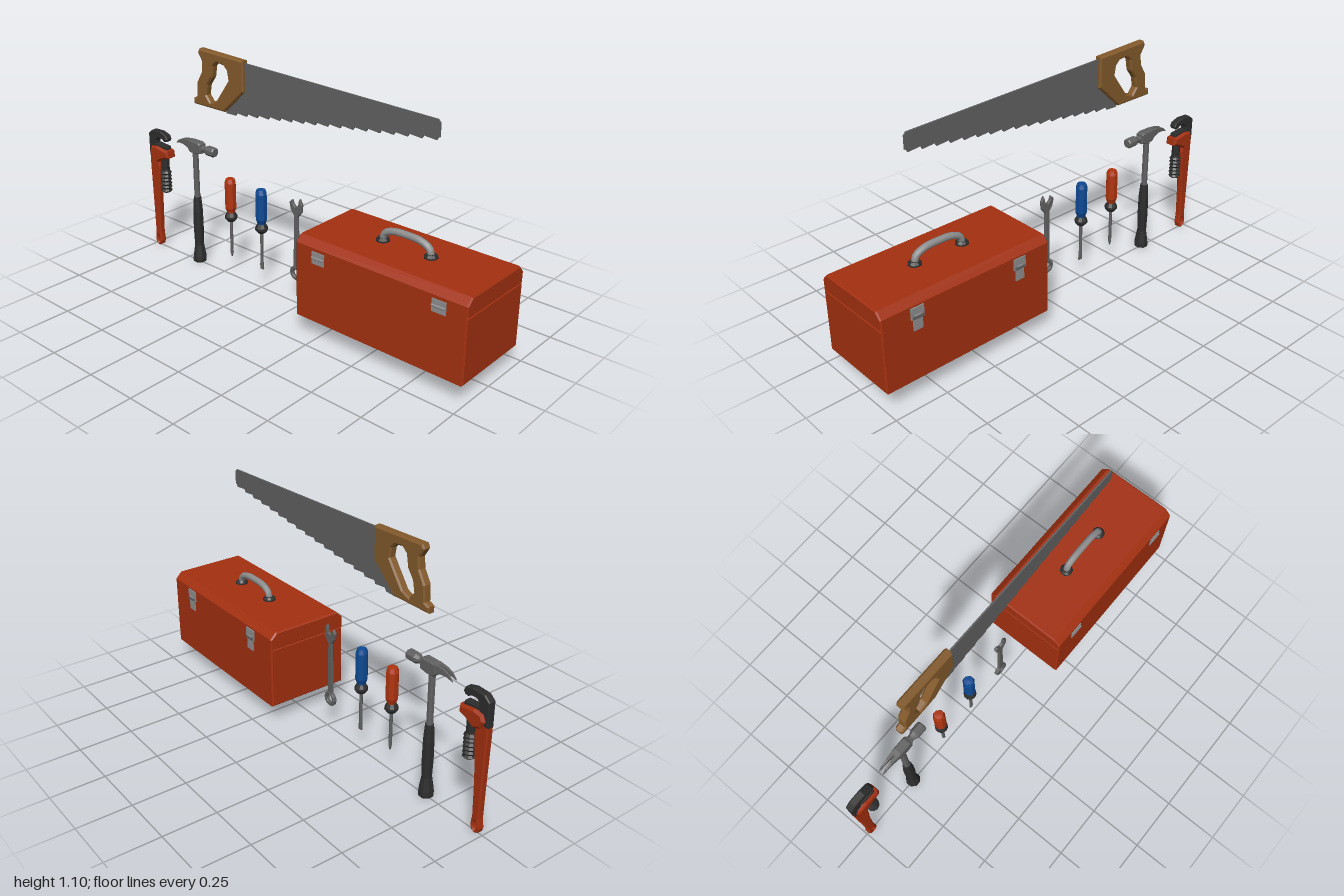
import * as THREE from 'three';

const mat = (name, color) => Object.assign(new THREE.MeshStandardMaterial({ color }), { name });
const M = {
  red: mat('red paint', 0xa33010),
  gripRed: mat('red plastic', 0xb0350f),
  blue: mat('blue plastic', 0x0e4a94),
  wood: mat('wood', 0x835a2b),
  steel: mat('steel', 0x616161),
  chrome: mat('chrome', 0x8e8e8e),
  dark: mat('dark rubber', 0x2d2d2d),
};

function part(parent, name, geo, material, x = 0, y = 0, z = 0) {
  const mesh = new THREE.Mesh(geo, material);
  mesh.name = name;
  mesh.position.set(x, y, z);
  parent.add(mesh);
  return mesh;
}

function group(parent, name, z = 0) {
  const g = new THREE.Group();
  g.name = name;
  g.position.z = z;
  parent.add(g);
  return g;
}

const vecs = pts => pts.map(([a, b]) => new THREE.Vector2(a, b));
const ring = (a, y, ra, ry = ra, n = 12) => Array.from({ length: n }, (_, i) => {
  const t = i / n * Math.PI * 2;
  return [a + ra * Math.cos(t), y + ry * Math.sin(t)];
});

// Bevelled slab centred on its own thickness
function slab(pts, thick, bevel = 0, hole = null) {
  const shape = new THREE.Shape(vecs(pts));
  if (hole) shape.holes.push(new THREE.Path(vecs(hole)));
  return new THREE.ExtrudeGeometry(shape, {
    depth: thick - 2 * bevel, bevelEnabled: bevel > 0, bevelThickness: bevel,
    bevelSize: bevel, bevelOffset: -bevel, bevelSegments: 1,
  }).translate(0, 0, -(thick - 2 * bevel) / 2);
}

// Side outline in (-z, y), thickness along x
const side = (...args) => slab(...args).rotateY(Math.PI / 2);

// Faceted turned part, profile from bottom to top
function turned(profile, sides = 8) {
  const g = new THREE.LatheGeometry(vecs(profile), sides).rotateY(Math.PI / sides).toNonIndexed();
  g.computeVertexNormals();
  return g;
}

function toolbox(root) {
  const g = group(root, 'toolbox', 0.575);
  part(g, 'boxBody', slab([[-0.2, 0.1], [0.2, 0.1], [0.2, 0.395], [-0.2, 0.395]], 0.85, 0.006), M.red);
  part(g, 'boxLid', slab([[-0.2, 0.39], [0.2, 0.39], [0.2, 0.445], [0.17, 0.475], [-0.17, 0.475], [-0.2, 0.445]],
    0.85, 0.006), M.red);
  // Carrying handle
  const path = new THREE.CatmullRomCurve3([[-0.12, 0.48], [-0.112, 0.51], [-0.07, 0.531], [0, 0.536],
    [0.07, 0.531], [0.112, 0.51], [0.12, 0.48]].map(([z, y]) => new THREE.Vector3(0, y, z)));
  part(g, 'carryHandle', new THREE.TubeGeometry(path, 20, 0.016, 8), M.chrome);
  for (const s of [-1, 1]) {
    part(g, 'handleFoot', turned([[0, 0.472], [0.03, 0.472], [0.03, 0.482], [0.02, 0.492], [0, 0.492]], 10),
      M.dark, 0, 0, s * 0.12);
    // Latch
    const latch = group(g, 'latch', s * 0.26);
    part(latch, 'latchKeeper', new THREE.BoxGeometry(0.007, 0.052, 0.062), M.chrome, 0.202, 0.412);
    part(latch, 'latchPlate', new THREE.BoxGeometry(0.007, 0.052, 0.044), M.chrome, 0.202, 0.36);
    part(latch, 'latchLever', new THREE.BoxGeometry(0.012, 0.06, 0.03), M.chrome, 0.204, 0.375);
    part(latch, 'latchBar', new THREE.BoxGeometry(0.015, 0.012, 0.05), M.steel, 0.204, 0.395);
    // Hinge
    part(g, 'hingePlate', new THREE.BoxGeometry(0.006, 0.055, 0.065), M.chrome, -0.202, 0.403, s * 0.3);
    part(g, 'hingePin', new THREE.CylinderGeometry(0.006, 0.006, 0.065, 8).rotateX(Math.PI / 2),
      M.chrome, -0.204, 0.403, s * 0.3);
  }
}

function saw(root) {
  const g = group(root, 'saw');
  const blade = [[-0.706, 0.985], [-0.706, 1.042], [-0.695, 1.055], [0.4, 1.088], [0.45, 0.83]];
  const teeth = 17;
  for (let i = 1; i <= teeth; i++) {
    const a = 0.45 - 1.15 * i / teeth, y = 0.83 + 0.148 * i / teeth;
    blade.push([a + 0.008, y - 0.007], [a, y + 0.007]);
  }
  part(g, 'sawBlade', side(blade.reverse(), 0.007), M.steel);
  part(g, 'sawHandle', side(
    [[0.325, 0.955], [0.45, 0.838], [0.652, 0.838], [0.652, 0.866], [0.628, 0.877], [0.625, 0.945], [0.592, 1.0],
      [0.588, 1.05], [0.613, 1.088], [0.603, 1.108], [0.325, 1.097]], 0.038, 0.007,
    [[0.42, 0.99], [0.428, 1.035], [0.45, 1.056], [0.49, 1.061], [0.515, 1.04], [0.525, 0.985], [0.555, 0.945],
      [0.565, 0.895], [0.54, 0.865], [0.5, 0.88], [0.445, 0.955]]), M.wood);
}

function spanner(root) {
  const g = group(root, 'spanner');
  part(g, 'spannerHead', side([[0.01, 0.19], [0.038, 0.19], [0.036, 0.445], [0.055, 0.47], [0.062, 0.503],
    [0.047, 0.518], [0.04, 0.5], [0.028, 0.488], [0.012, 0.493], [0.008, 0.515], [0.003, 0.53], [-0.012, 0.505],
    [-0.008, 0.468], [0.014, 0.44]], 0.014, 0.002), M.steel);
  part(g, 'spannerRing', side(ring(0.024, 0.16, 0.036), 0.018, 0.003, ring(0.024, 0.16, 0.019)), M.steel);
}

function screwdriver(root, name, z, material, flatTip) {
  const g = group(root, name, z);
  part(g, 'driverGrip', turned([[0.016, 0.31], [0.02, 0.345], [0.028, 0.365], [0.028, 0.49], [0.021, 0.51],
    [0, 0.512]]), material);
  part(g, 'driverCollar', turned([[0, 0.292], [0.018, 0.295], [0.03, 0.31], [0.03, 0.322], [0.02, 0.34],
    [0, 0.34]], 10), M.dark);
  part(g, 'driverShaft', turned([[0, 0.108], [flatTip ? 0.006 : 0.003, 0.108], [0.008, 0.13], [0.008, 0.3]]), M.steel);
  if (flatTip) part(g, 'driverTip', new THREE.BoxGeometry(0.006, 0.028, 0.02), M.steel, 0, 0.12);
}

function hammer(root) {
  const g = group(root, 'hammer');
  const z = -0.674;
  part(g, 'hammerGrip', turned([[0, 0.01], [0.032, 0.01], [0.035, 0.02], [0.033, 0.04], [0.023, 0.1],
    [0.026, 0.19], [0.025, 0.28], [0.019, 0.355], [0, 0.355]]), M.dark, 0, 0, z);
  part(g, 'hammerShaft', turned([[0.015, 0.34], [0.015, 0.6]]), M.steel, 0, 0, z);
  part(g, 'hammerFace', turned([[0, -0.63], [0.017, -0.63], [0.015, -0.605], [0.024, -0.585], [0.024, -0.542],
    [0.02, -0.536], [0, -0.536]]).rotateX(Math.PI / 2), M.steel, 0, 0.615);
  part(g, 'hammerCheek', side([[0.62, 0.592], [0.65, 0.585], [0.695, 0.585], [0.71, 0.602], [0.71, 0.642],
    [0.69, 0.645], [0.635, 0.645], [0.62, 0.637]], 0.042, 0.005), M.steel);
  // Split claw, each prong narrowing toward its tip
  for (const s of [-1, 1]) {
    const claw = side([[0.695, 0.602], [0.74, 0.615], [0.77, 0.615], [0.797, 0.607], [0.775, 0.629], [0.745, 0.639],
      [0.695, 0.643]], 0.02);
    const p = claw.attributes.position;
    for (let i = 0; i < p.count; i++) {
      const t = (-p.getZ(i) - 0.695) / 0.1;
      const outer = p.getX(i) * s > 0;
      p.setX(i, s * (outer ? 0.02 - 0.007 * t : 0.001 + 0.007 * t));
    }
    claw.computeVertexNormals();
    part(g, 'hammerClaw', claw, M.steel);
  }
}

function pipeWrench(root) {
  const g = group(root, 'pipeWrench');
  part(g, 'wrenchHandle', side([[0.968, 0.005], [0.987, 0.015], [0.993, 0.035], [0.987, 0.08], [0.989, 0.2],
    [0.996, 0.46], [0.996, 0.51], [0.94, 0.51], [0.928, 0.45], [0.945, 0.25], [0.95, 0.08], [0.944, 0.035],
    [0.95, 0.015]], 0.032, 0.005, ring(0.968, 0.042, 0.01, 0.022)), M.red);
  part(g, 'wrenchHousing', side([[0.85, 0.512], [0.885, 0.5], [0.93, 0.475], [0.965, 0.49], [0.985, 0.525],
    [0.972, 0.553], [0.93, 0.56], [0.855, 0.548]], 0.06, 0.01), M.red);
  part(g, 'hookJaw', side([[0.87, 0.592], [0.885, 0.59], [0.9, 0.6], [0.93, 0.602], [0.945, 0.585], [0.945, 0.5],
    [0.996, 0.5], [0.996, 0.612], [0.97, 0.634], [0.91, 0.637], [0.87, 0.625], [0.86, 0.605]], 0.034, 0.004), M.dark);
  part(g, 'heelJaw', side([[0.865, 0.54], [0.945, 0.54], [0.942, 0.572], [0.87, 0.566]], 0.034, 0.003), M.dark);
  // Adjusting screw with ridged threads
  const thread = [[0, 0.318], [0.018, 0.318]];
  for (let i = 0; i < 6; i++) thread.push([0.029, 0.328 + i * 0.019], [0.022, 0.338 + i * 0.019]);
  thread.push([0.02, 0.44], [0.02, 0.51]);
  part(g, 'adjustingScrew', turned(thread, 10), M.dark, 0, 0, -0.9);
}

export function createModel() {
  const root = new THREE.Group();
  root.name = 'toolboxAndTools';
  toolbox(root);
  saw(root);
  spanner(root);
  screwdriver(root, 'flatScrewdriver', -0.242, M.blue, true);
  screwdriver(root, 'crossScrewdriver', -0.442, M.gripRed, false);
  hammer(root);
  pipeWrench(root);
  return root;
}
